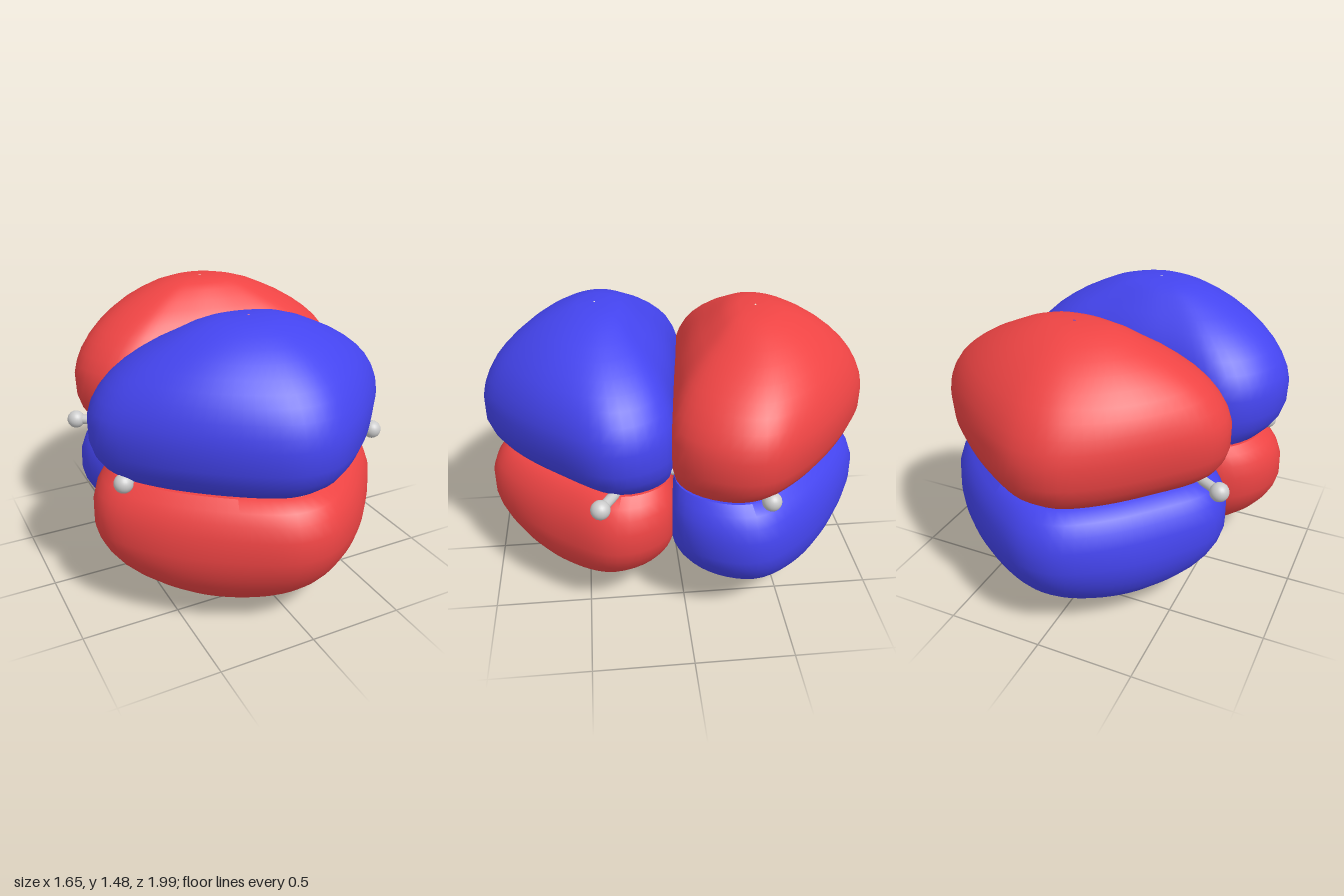
import * as THREE from 'three';
import { toCreasedNormals } from 'three/addons/utils/BufferGeometryUtils.js';

const MID = 0.74;            // height of the molecule's plane
const CX = -0.06, CZ = 0.42; // middle of the front lobes
const SEG = 72;

// plan outline of a front lobe (x, z)
const OUTLINE = [
  [-0.57, -0.07], [-0.72, 0.02], [-0.815, 0.2], [-0.815, 0.36], [-0.68, 0.56], [-0.4, 0.81],
  [-0.12, 0.98], [0, 1.0], [0.11, 0.98], [0.28, 0.87], [0.5, 0.65], [0.69, 0.4],
  [0.69, 0.23], [0.57, 0.07], [0.2, 0.03], [-0.2, -0.02],
];
// lobe profile: distance from the plane, outline scale, z shift
const PROFILE = [
  [0.006, 0.01, -0.04], [0.006, 0.45, -0.04], [0.006, 0.86, -0.04], [0.05, 0.92, -0.02], [0.1, 0.965, -0.01],
  [0.17, 0.995, 0], [0.28, 1, 0], [0.34, 0.98, 0], [0.4, 0.94, 0], [0.46, 0.88, 0],
  [0.51, 0.81, 0], [0.56, 0.72, 0], [0.61, 0.61, 0], [0.65, 0.5, 0], [0.69, 0.38, -0.01],
  [0.715, 0.27, -0.02], [0.73, 0.17, -0.02], [0.732, 0.01, -0.02],
];

// one lobe lofted from scaled outlines; dir is 1 above the plane, -1 below
function lobeGeometry(dir) {
  const curve = new THREE.CatmullRomCurve3(
    OUTLINE.map(([x, z]) => new THREE.Vector3(x - CX, 0, z - CZ)), true, 'centripetal');
  const ring = curve.getSpacedPoints(SEG).slice(0, SEG);
  const pos = [], idx = [];
  PROFILE.forEach(([h, s, dz], i) => {
    const round = 0.75 * (h / 0.73) ** 2; // sections turn elliptical away from the plane
    for (const p of ring) {
      const a = Math.atan2(p.z, p.x) - 0.12;
      const r = 1 / Math.hypot(Math.cos(a) / 0.76, Math.sin(a) / 0.53);
      const k = s * (1 + round * (r / p.length() - 1));
      pos.push(CX + p.x * k, MID + dir * h * 1.008, CZ + dz + p.z * k);
    }
    if (i === 0) return;
    for (let j = 0; j < SEG; j++) {
      const a = (i - 1) * SEG + j, b = (i - 1) * SEG + (j + 1) % SEG;
      const c = b + SEG, d = a + SEG;
      if (dir > 0) idx.push(a, b, c, a, c, d);
      else idx.push(a, c, b, a, d, c);
    }
  });
  const g = new THREE.BufferGeometry();
  g.setAttribute('position', new THREE.Float32BufferAttribute(pos, 3));
  g.setIndex(idx);
  return toCreasedNormals(g, 0.75);
}

export function createModel() {
  const model = new THREE.Group();
  model.name = 'molecularOrbital';
  const blue = new THREE.MeshStandardMaterial({ color: 0x4444ee });
  const red = new THREE.MeshStandardMaterial({ color: 0xee4444 });
  const grey = new THREE.MeshStandardMaterial({ color: 0xcccccc });

  const add = (parent, name, geometry, material) => {
    const mesh = new THREE.Mesh(geometry, material);
    mesh.name = name;
    parent.add(mesh);
    return mesh;
  };

  // four lobes of alternating sign; the back pair is the front pair turned half round
  const upper = lobeGeometry(1), lower = lobeGeometry(-1);
  add(model, 'frontUpperLobe', upper, blue);
  add(model, 'frontLowerLobe', lower, red);
  add(model, 'backUpperLobe', upper, red).rotation.y = Math.PI;
  add(model, 'backLowerLobe', lower, blue).rotation.y = Math.PI;

  // six-sided ring molecule lying between the lobes
  const molecule = new THREE.Group();
  molecule.name = 'molecule';
  molecule.position.y = MID;
  model.add(molecule);
  const innerBall = new THREE.SphereGeometry(0.07, 24, 16);
  const outerBall = new THREE.SphereGeometry(0.048, 24, 16);
  const at = (radius, i) => {
    const a = THREE.MathUtils.degToRad(31 + 60 * i);
    return new THREE.Vector3(radius * Math.cos(a), 0, radius * Math.sin(a));
  };
  const bond = (name, a, b) => {
    const d = b.clone().sub(a);
    const m = add(molecule, name, new THREE.CylinderGeometry(0.026, 0.026, d.length(), 12, 1, true), grey);
    m.position.copy(a).addScaledVector(d, 0.5);
    m.quaternion.setFromUnitVectors(new THREE.Vector3(0, 1, 0), d.normalize());
  };
  for (let i = 0; i < 6; i++) {
    const inner = at(0.46, i), outer = at(0.815, i);
    add(molecule, 'ringAtom', innerBall, grey).position.copy(inner);
    add(molecule, 'outerAtom', outerBall, grey).position.copy(outer);
    bond('ringBond', inner, at(0.46, i + 1));
    bond('outerBond', inner, outer);
  }
  return model;
}
